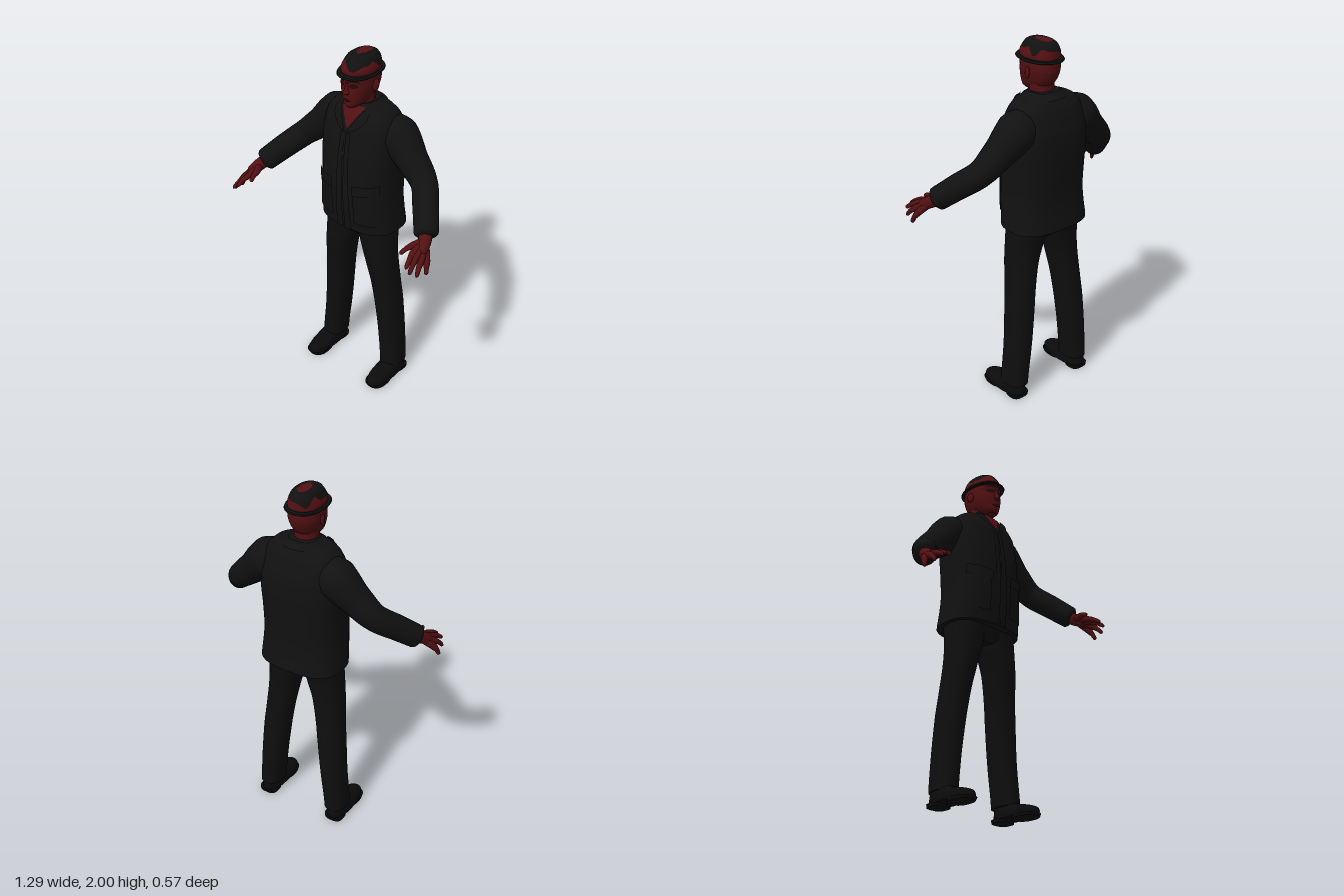
import * as THREE from 'three';
import { mergeVertices } from 'three/addons/utils/BufferGeometryUtils.js';

const mat = (name, color) => new THREE.MeshStandardMaterial({ name, color, side: THREE.DoubleSide });
const V = (p) => new THREE.Vector3(p[0], p[1], p[2]);

// Sections are [y, centreX, halfWidth, zBack, zFront]; smooth them into more rings
function sample(sections, steps) {
  const out = [], last = sections.length - 1;
  for (let i = 0; i < last; i++) {
    const [a, b, c, d] = [i - 1, i, i + 1, i + 2].map((k) => sections[THREE.MathUtils.clamp(k, 0, last)]);
    for (let s = 0; s < steps; s++) {
      const t = s / steps;
      out.push(b.map((_, k) => {
        if (k === 0) return b[0] + (c[0] - b[0]) * t;
        const cubic = 3 * (b[k] - c[k]) + d[k] - a[k];
        const square = 2 * a[k] - 5 * b[k] + 4 * c[k] - d[k];
        return b[k] + 0.5 * t * (c[k] - a[k] + t * (square + t * cubic));
      }));
    }
  }
  out.push(sections[last]);
  return out;
}

// Closed skin over superellipse rings, with flat caps
function loft(rings, n = 2.4, seg = 40) {
  const pos = [], idx = [], e = 2 / n;
  const addRing = ([y, cx, rx, zb, zf]) => {
    const start = pos.length / 3;
    for (let j = 0; j < seg; j++) {
      const a = (j / seg) * Math.PI * 2, c = Math.cos(a), s = Math.sin(a);
      pos.push(cx + rx * Math.sign(c) * Math.abs(c) ** e, y, (zb + zf) / 2 + ((zf - zb) / 2) * Math.sign(s) * Math.abs(s) ** e);
    }
    return start;
  };
  const starts = rings.map(addRing);
  for (let i = 0; i + 1 < starts.length; i++) for (let j = 0; j < seg; j++) {
    const k = (j + 1) % seg, a = starts[i] + j, b = starts[i] + k, c = starts[i + 1] + j, d = starts[i + 1] + k;
    idx.push(a, c, b, b, c, d);
  }
  [rings[0], rings[rings.length - 1]].forEach((r, top) => {
    const s = addRing(r), centre = pos.length / 3;
    pos.push(r[1], r[0], (r[3] + r[4]) / 2);
    for (let j = 0; j < seg; j++) {
      const k = (j + 1) % seg;
      idx.push(centre, s + (top ? k : j), s + (top ? j : k));
    }
  });
  return build(pos, idx);
}

function build(pos, idx) {
  const g = new THREE.BufferGeometry();
  g.setAttribute('position', new THREE.Float32BufferAttribute(pos, 3));
  g.setIndex(idx);
  g.computeVertexNormals();
  return g;
}

// Surface from a rule f(u, v) -> [x, y, z]
function sheet(f, nu = 12, nv = 12) {
  const pos = [], idx = [];
  for (let i = 0; i <= nv; i++) for (let j = 0; j <= nu; j++) pos.push(...f(j / nu, i / nv));
  for (let i = 0; i < nv; i++) for (let j = 0; j < nu; j++) {
    const a = i * (nu + 1) + j, c = a + nu + 1;
    idx.push(a, a + 1, c, a + 1, c + 1, c);
  }
  return build(pos, idx);
}

// Front surface depth of a lofted body at (x, y)
function frontZ(rings, x, y, n) {
  let i = 0;
  while (i < rings.length - 2 && rings[i + 1][0] < y) i++;
  const t = THREE.MathUtils.clamp((y - rings[i][0]) / (rings[i + 1][0] - rings[i][0]), 0, 1);
  const [, cx, rx, zb, zf] = rings[i].map((v, k) => v + (rings[i + 1][k] - v) * t);
  const w = Math.min(1, Math.abs(x - cx) / rx);
  return (zb + zf) / 2 + ((zf - zb) / 2) * (1 - w ** n) ** (1 / n);
}

// Rounded limb through points [x, y, z, radius]
function limb(points, round = 0.1, segs = 32, sides = 16) {
  const curve = new THREE.CatmullRomCurve3(points.map(V));
  const g = new THREE.TubeGeometry(curve, segs, 1, sides, false);
  const p = g.attributes.position, v = new THREE.Vector3();
  for (let i = 0; i <= segs; i++) {
    const u = i / segs, c = curve.getPointAt(u), t = curve.getUtoTmapping(u) * (points.length - 1);
    const k = Math.min(points.length - 2, Math.floor(t));
    let r = THREE.MathUtils.lerp(points[k][3], points[k + 1][3], t - k);
    if (u > 1 - round) r *= Math.sqrt(Math.max(0, 1 - ((u - 1 + round) / round) ** 2));
    for (let j = 0; j <= sides; j++) {
      const q = i * (sides + 1) + j;
      v.fromBufferAttribute(p, q).sub(c).multiplyScalar(r).add(c);
      p.setXYZ(q, v.x, v.y, v.z);
    }
  }
  g.deleteAttribute('uv');
  g.deleteAttribute('normal');
  const m = mergeVertices(g, 1e-6);
  m.computeVertexNormals();
  return m;
}

export function createModel() {
  const model = new THREE.Group();
  const jacket = mat('jacketBlack', 0x111111), trousers = mat('trouserBlack', 0x0e0e0e), leather = mat('shoeBlack', 0x0b0b0b);
  const skin = mat('skinRed', 0x521012), shade = mat('faceShade', 0x260808), hatRed = mat('hatRed', 0x561012);
  const add = (name, geo, m, parent = model) => {
    const mesh = new THREE.Mesh(geo, m);
    mesh.name = name;
    parent.add(mesh);
    return mesh;
  };

  // Jacket body
  const TN = 2.7;
  const torso = sample([
    [1.01, 0, 0.235, -0.278, 0.05], [1.1, 0, 0.228, -0.268, 0.06], [1.2, 0, 0.22, -0.265, 0.068], [1.35, 0, 0.22, -0.275, 0.066],
    [1.45, 0, 0.224, -0.281, 0.06], [1.55, 0, 0.222, -0.275, 0.045], [1.62, 0, 0.212, -0.256, 0.03], [1.67, 0, 0.192, -0.235, 0.008],
    [1.7, 0, 0.16, -0.215, -0.006], [1.72, 0, 0.11, -0.2, -0.022], [1.738, 0, 0.075, -0.185, -0.035]], 5);
  add('jacketBody', loft(torso, TN, 56), jacket);
  const drape = (name, xy, off, m, rings = torso, n = TN) => add(name, sheet((u, v) => {
    const [x, y] = xy(u, v);
    return [x, y, frontZ(rings, x, y, n) + off];
  }), m);

  // Open neckline
  drape('neckOpening', (u, v) => [(u * 2 - 1) * 0.07 * v, 1.61 + v * 0.115], 0.004, skin);
  add('collar', sheet((u, v) => {
    const a = Math.PI * (0.32 - 1.64 * u), w = [[0.07, -0.04], [0.088, 0], [0.128, -0.03]];
    const k = v < 0.5 ? 0 : 1, t = v * 2 - k;
    const r = w[k][0] + (w[k + 1][0] - w[k][0]) * t, dy = w[k][1] + (w[k + 1][1] - w[k][1]) * t;
    return [r * Math.cos(a), 1.714 - 0.03 * Math.sin(a) + dy, -0.1 + r * Math.sin(a)];
  }, 40, 8), jacket);

  for (const s of [-1, 1]) {
    const side = s > 0 ? 'left' : 'right';
    // Lapel, front edge and pockets
    drape(side + 'Lapel', (u, v) => [s * (0.006 + 0.066 * v + u * 0.055 * Math.sin(Math.PI * (0.12 + v * 0.7))), 1.6 + v * 0.115], 0.011, jacket);
    drape(side + 'FrontEdge', (u, v) => [s * (0.004 + u * (0.045 - 0.018 * v)), 1.012 + v * 0.58], 0.007, jacket);
    drape(side + 'Pocket', (u, v) => [s * (0.07 + u * 0.125), 1.07 + v * 0.2], 0.008, jacket);
    drape(side + 'PocketFlap', (u, v) => [s * (0.065 + u * 0.135), 1.25 + 0.02 * u + v * 0.06], 0.015, jacket);

    // Sleeve
    add(side + 'Sleeve', limb([[s * 0.12, 1.595, -0.13, 0.09], [s * 0.2, 1.565, -0.135, 0.11], [s * 0.3, 1.475, -0.12, 0.085],
      [s * 0.4, 1.385, -0.095, 0.07], [s * 0.48, 1.305, -0.008, 0.067], [s * 0.56, 1.217, 0.09, 0.062]], 0.04, 60, 24), jacket);

    // Hand: every finger grows from the wrist
    const hand = new THREE.Group();
    hand.name = side + 'Hand';
    model.add(hand);
    add('wrist', limb([[s * 0.535, 1.24, 0.06, 0.036], [s * 0.565, 1.207, 0.11, 0.034], [s * 0.59, 1.17, 0.175, 0.026]], 0.2), skin, hand);
    const fingers = {
      thumb: [[0.532, 1.2, 0.17], [0.51, 1.178, 0.24]],
      indexFinger: [[0.56, 1.182, 0.198], [0.578, 1.14, 0.28]],
      middleFinger: [[0.583, 1.17, 0.203], [0.604, 1.12, 0.285]],
      ringFinger: [[0.606, 1.152, 0.193], [0.625, 1.095, 0.252]],
      littleFinger: [[0.62, 1.135, 0.162], [0.638, 1.08, 0.188]],
    };
    for (const [name, [k, t]] of Object.entries(fingers)) {
      const mid = k.map((v, i) => v * 0.5 + t[i] * 0.5);
      add(name, limb([[s * 0.563, 1.208, 0.105, 0.022], [s * k[0], k[1], k[2], 0.018],
        [s * mid[0], mid[1] + 0.006, mid[2], 0.013], [s * t[0], t[1], t[2], 0.01]], 0.08, 28, 12), skin, hand);
    }

    // Trouser leg
    add(side + 'Leg', loft(sample([
      [0.075, s * 0.217, 0.063, -0.206, -0.04], [0.3, s * 0.197, 0.068, -0.21, -0.045], [0.5, s * 0.178, 0.073, -0.205, -0.036],
      [0.65, s * 0.16, 0.076, -0.195, -0.022], [0.8, s * 0.139, 0.084, -0.19, 0], [0.93, s * 0.116, 0.1, -0.2, 0.006],
      [1.03, s * 0.105, 0.105, -0.225, 0.01]], 5), 2.3), trousers);

    // Shoe with sole and heel
    const c = s * 0.223;
    add(side + 'Shoe', loft(sample([[0.012, c, 0.059, -0.2, 0.1], [0.03, c, 0.061, -0.203, 0.104], [0.05, c, 0.058, -0.202, 0.088],
      [0.068, c, 0.052, -0.2, 0.035], [0.085, c, 0.047, -0.198, -0.03], [0.11, c, 0.045, -0.19, -0.055]], 4), 2.3), leather);
    add(side + 'Sole', loft([[0, c, 0.058, -0.06, 0.095], [0.016, c, 0.062, -0.06, 0.104]]), leather);
    add(side + 'Heel', loft([[0, c, 0.054, -0.203, -0.1], [0.018, c, 0.056, -0.204, -0.1]], 3), leather);
  }
  add('trouserSeat', loft(sample([[0.935, 0, 0.14, -0.17, -0.03], [0.96, 0, 0.19, -0.2, -0.005], [1.03, 0, 0.21, -0.23, 0.01]], 4)), trousers);

  // Neck and head
  add('neck', limb([[0, 1.58, -0.095, 0.07], [0, 1.7, -0.092, 0.064], [0, 1.82, -0.09, 0.066]]), skin);
  const HN = 2.2;
  const head = sample([
    [1.726, 0, 0.026, -0.05, 0.024], [1.742, 0, 0.048, -0.11, 0.035], [1.77, 0, 0.066, -0.155, 0.036], [1.8, 0, 0.077, -0.178, 0.038],
    [1.84, 0, 0.085, -0.193, 0.036], [1.862, 0, 0.086, -0.195, 0.033], [1.88, 0, 0.086, -0.195, 0.038], [1.92, 0, 0.083, -0.19, 0.03]], 5);
  add('head', loft(head, HN, 48), skin);
  add('nose', loft(sample([[1.805, 0, 0.012, 0, 0.044], [1.814, 0, 0.019, 0, 0.06], [1.83, 0, 0.012, 0, 0.055], [1.872, 0, 0.008, 0, 0.04]], 4), 2, 20), skin);
  add('lips', limb([[-0.026, 1.769, 0.026, 0.004], [0, 1.772, 0.036, 0.007], [0.026, 1.769, 0.026, 0.004]], 0.1, 16, 10), shade);
  for (const s of [-1, 1]) {
    const side = s > 0 ? 'left' : 'right';
    drape(side + 'Eye', (u, v) => [s * (0.016 + u * 0.042), 1.856 + (v - 0.5) * 0.024 * Math.sin(Math.PI * (0.1 + 0.8 * u))], 0.004, shade, head, HN);
    drape(side + 'Brow', (u, v) => [s * (0.012 + u * 0.052), 1.876 + v * 0.008 + 0.004 * Math.sin(Math.PI * u)], 0.004, shade, head, HN);
    const ear = add(side + 'Ear', new THREE.SphereGeometry(1, 16, 12), skin);
    ear.scale.set(0.01, 0.032, 0.02);
    ear.position.set(s * 0.089, 1.838, -0.085);
    ear.rotation.set(-0.15, s * -0.3, 0);
  }

  // Hat brim
  add('hatBrim', loft(sample([[1.896, 0, 0.099, -0.216, 0.062], [1.901, 0, 0.103, -0.221, 0.066], [1.908, 0, 0.1, -0.217, 0.06]], 2), 2.1, 48), jacket);
  // Patterned hat crown: faces sorted into two colours by a wavy rule
  const crown = loft(sample([[1.9, 0, 0.086, -0.196, 0.034], [1.93, 0, 0.086, -0.197, 0.037], [1.96, 0, 0.075, -0.194, 0.022],
    [1.983, 0, 0.062, -0.178, 0.004], [1.996, 0, 0.042, -0.15, -0.024], [2, 0, 0.004, -0.095, -0.085]], 8), 2.2, 96);
  const p = crown.attributes.position, index = crown.index.array, red = [], dark = [];
  for (let i = 0; i < index.length; i += 3) {
    const tri = [index[i], index[i + 1], index[i + 2]];
    const mid = (k) => tri.reduce((sum, q) => sum + p.getComponent(q, k), 0) / 3;
    const x = mid(0), y = mid(1), z = mid(2), a = Math.atan2(z + 0.09, x);
    const edge = 1.95 + 0.014 * Math.sin(4 * a) + 0.008 * Math.sin(7 * a + 1);
    const oval = (x / 0.028) ** 2 + ((z + 0.105) / 0.055) ** 2 < 1 + 0.2 * Math.sin(5 * a);
    const isDark = (y > edge && !oval) || y < 1.913;
    (isDark ? dark : red).push(...tri);
  }
  crown.setIndex([...red, ...dark]);
  crown.addGroup(0, red.length, 0);
  crown.addGroup(red.length, dark.length, 1);
  add('hatCrown', crown, [hatRed, jacket]);

  return model;
}
